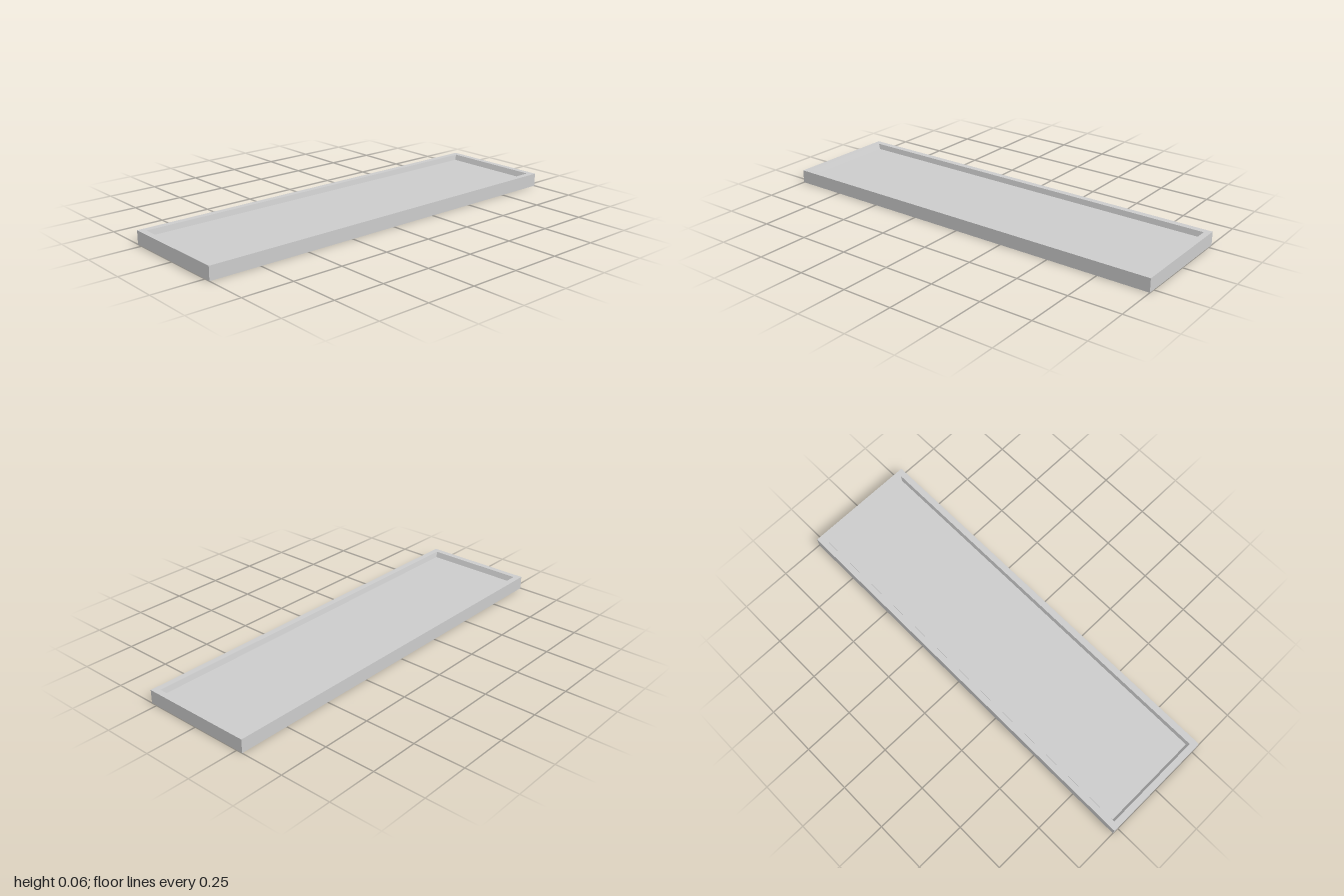
import * as THREE from 'three';

// Rectangular cross-sections, from the underside up the outside,
// over the rim and down the slightly sloped inside: [half x, y, half z]
const SECTIONS = [
  [0.281, 0, 1],
  [0.281, 0.065, 1],
  [0.251, 0.065, 0.971],
  [0.245, 0.039, 0.959],
];

function loop([x, y, z]) {
  return [[-x, y, z], [x, y, z], [x, y, -z], [-x, y, -z]];
}

function trayGeometry() {
  const loops = SECTIONS.map(loop);
  const positions = [];
  const quad = (a, b, c, d) => positions.push(...a, ...b, ...c, ...a, ...c, ...d);

  // Outer walls, rim and inner walls
  for (let s = 0; s < loops.length - 1; s++) {
    const low = loops[s], high = loops[s + 1];
    for (let i = 0; i < 4; i++) {
      const j = (i + 1) % 4;
      quad(low[i], low[j], high[j], high[i]);
    }
  }
  // Underside and recessed floor
  quad(...[...loops[0]].reverse());
  quad(...loops[loops.length - 1]);

  const geometry = new THREE.BufferGeometry();
  geometry.setAttribute('position', new THREE.Float32BufferAttribute(positions, 3));
  geometry.computeVertexNormals();
  return geometry;
}

export function createModel() {
  const group = new THREE.Group();
  group.name = 'shallowTray';
  const material = new THREE.MeshStandardMaterial({ color: 0xcccccc, flatShading: true });
  const tray = new THREE.Mesh(trayGeometry(), material);
  tray.name = 'tray';
  group.add(tray);
  return group;
}
